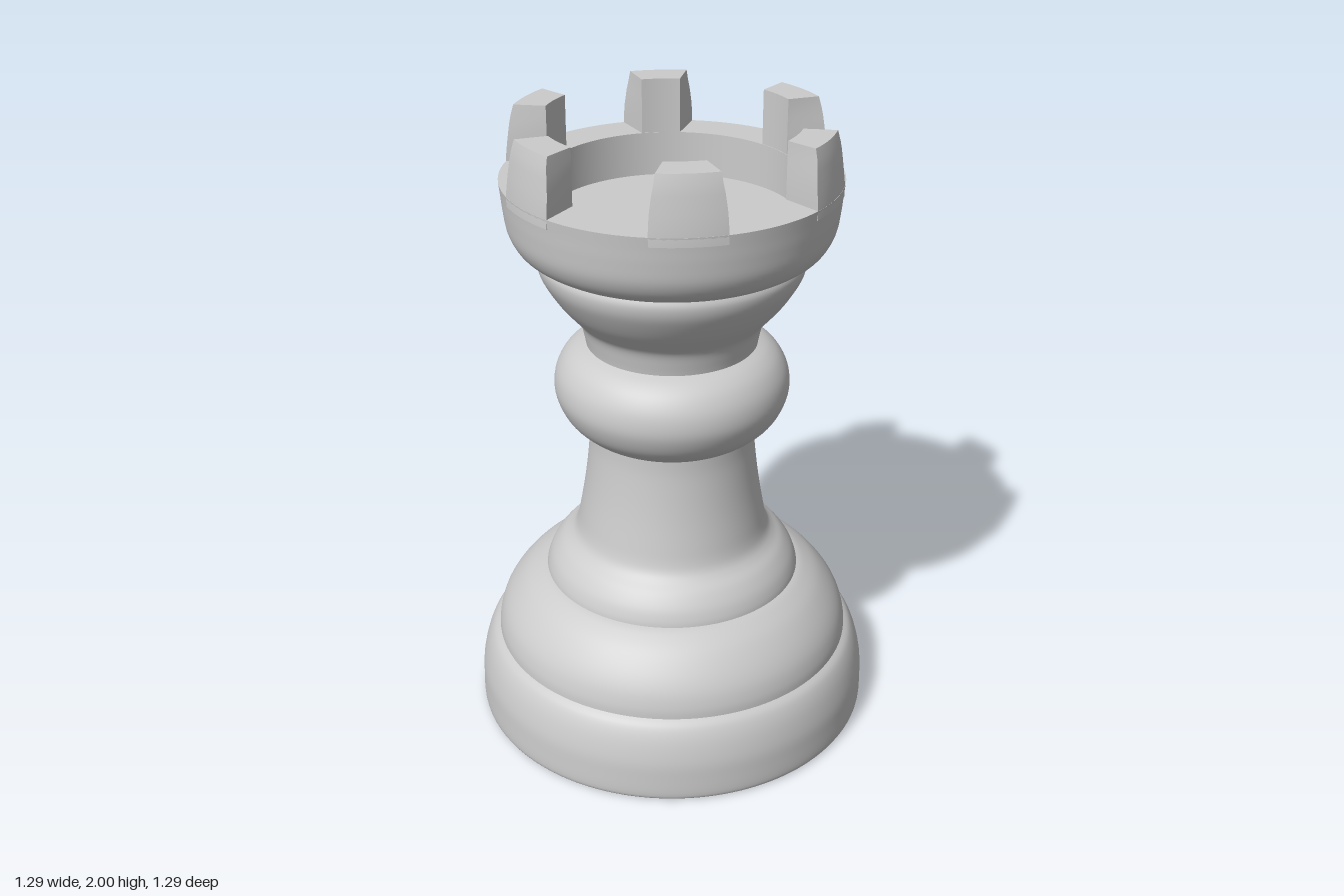
import * as THREE from 'three';
import { toCreasedNormals } from 'three/addons/utils/BufferGeometryUtils.js';

const SEGMENTS = 96;

// Turned part: [radius, height] points, optionally smoothed by a spline
function turned(name, material, points, smooth = true) {
  let pts = points.map(([r, y]) => new THREE.Vector2(r, y));
  if (smooth) {
    pts = new THREE.SplineCurve(pts).getPoints(points.length * 4);
  }
  const mesh = new THREE.Mesh(new THREE.LatheGeometry(pts, SEGMENTS), material);
  mesh.name = name;
  return mesh;
}

// One battlement block, lofted through plan sections that shrink upwards
function merlonGeometry() {
  const N = 8, innerR = 0.388, innerHalf = 0.06;
  const levels = [ // height, outer radius, outer half width
    [1.8, 0.511, 0.11], [1.84, 0.51, 0.11], [1.89, 0.504, 0.107],
    [1.94, 0.498, 0.1], [1.97, 0.493, 0.094], [2.0, 0.485, 0.089],
  ];
  const sections = levels.map(([y, r, half]) => {
    const ring = [];
    const arc = (radius, width, dir) => {
      const a = Math.asin(width / radius) * dir;
      for (let i = 0; i <= N; i++) {
        const t = -a + (2 * a * i) / N;
        ring.push([Math.sin(t) * radius, y, Math.cos(t) * radius]);
      }
    };
    arc(r, half, 1);
    arc(innerR, innerHalf, -1);
    return ring;
  });
  const pos = [];
  const quad = (a, b, c, d) => pos.push(...a, ...b, ...c, ...a, ...c, ...d);
  const M = 2 * N + 2;
  for (let l = 0; l < levels.length - 1; l++) {
    const lo = sections[l], hi = sections[l + 1];
    for (let i = 0; i < M; i++) {
      const j = (i + 1) % M;
      quad(lo[i], lo[j], hi[j], hi[i]);
    }
  }
  const top = sections[sections.length - 1];
  for (let k = 0; k < N; k++) {
    quad(top[k], top[k + 1], top[M - 2 - k], top[M - 1 - k]);
  }
  const geo = new THREE.BufferGeometry();
  geo.setAttribute('position', new THREE.Float32BufferAttribute(pos, 3));
  return toCreasedNormals(geo, 0.6);
}

export function createModel() {
  const grey = new THREE.MeshStandardMaterial({ color: 0xcccccc });
  grey.name = 'light grey';
  const model = new THREE.Group();
  model.name = 'rook';

  model.add(
    // Stepped foot
    turned('underside', grey, [[0, 0], [0.63, 0]], false),
    turned('base', grey, [
      [0.63, 0], [0.642, 0.015], [0.642, 0.08], [0.638, 0.14],
      [0.622, 0.205], [0.6, 0.25], [0.575, 0.27],
    ]),
    turned('baseDome', grey, [
      [0.578, 0.262], [0.575, 0.3], [0.56, 0.35], [0.53, 0.4],
      [0.485, 0.45], [0.435, 0.484], [0.405, 0.495],
    ]),
    turned('stemCollar', grey, [
      [0.413, 0.485], [0.408, 0.51], [0.393, 0.545], [0.365, 0.582],
      [0.335, 0.608], [0.317, 0.63], [0.306, 0.66], [0.296, 0.71],
      [0.282, 0.79], [0.271, 0.87], [0.263, 0.95], [0.262, 1.01],
    ]),
    // Neck ring
    turned('neckRing', grey, [
      [0.255, 0.995], [0.295, 1.02], [0.335, 1.06], [0.36, 1.11], [0.368, 1.155],
      [0.36, 1.205], [0.335, 1.25], [0.3, 1.28], [0.26, 1.297],
    ]),
    // Flared cup under the tower
    turned('neckFlare', grey, [
      [0.264, 1.28], [0.271, 1.32], [0.284, 1.37], [0.312, 1.405],
      [0.35, 1.45], [0.383, 1.5], [0.403, 1.54], [0.409, 1.575], [0.4, 1.6],
    ]),
    turned('towerWall', grey, [
      [0.398, 1.592], [0.43, 1.605], [0.467, 1.633], [0.492, 1.68],
      [0.502, 1.74], [0.507, 1.79], [0.511, 1.828],
    ]),
    // Flat rim and the shallow well inside it
    turned('towerRim', grey, [[0.511, 1.828], [0.386, 1.828]], false),
    turned('wellWall', grey, [[0.386, 1.828], [0.386, 1.69]], false),
    turned('wellFloor', grey, [[0.386, 1.69], [0, 1.69]], false),
  );

  // Six battlements
  const merlons = new THREE.Group();
  merlons.name = 'battlements';
  const geo = merlonGeometry();
  for (let i = 0; i < 6; i++) {
    const m = new THREE.Mesh(geo, grey);
    m.name = 'battlement' + (i + 1);
    m.rotation.y = (i * Math.PI) / 3;
    merlons.add(m);
  }
  model.add(merlons);
  return model;
}
